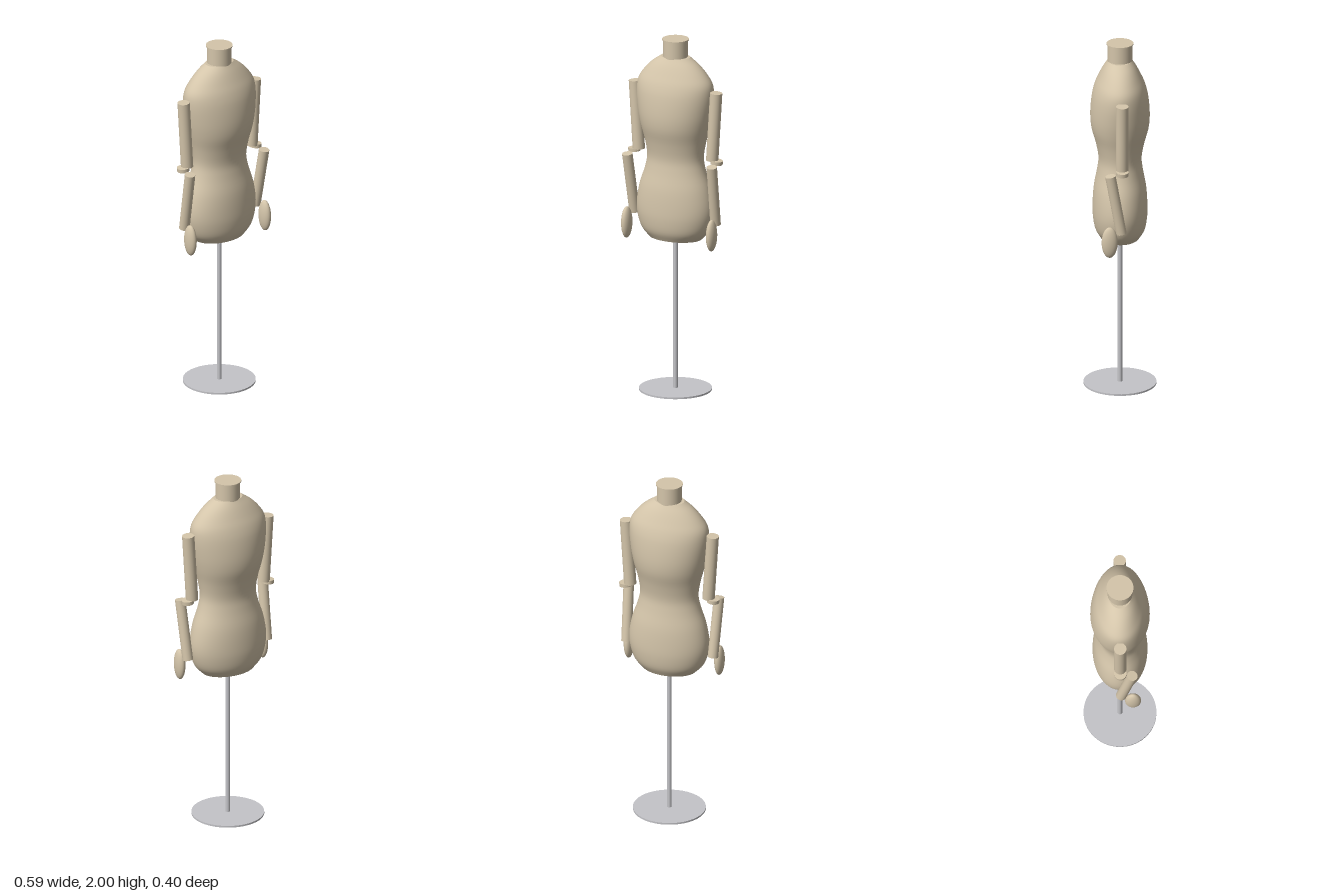
import * as THREE from 'three';
import { mergeVertices } from 'three/addons/utils/BufferGeometryUtils.js';

const V = (x, y, z) => new THREE.Vector3(x, y, z);

// Elliptical loft: each profile point is (half width, height, half depth)
function loft(profile) {
  const curve = new THREE.CatmullRomCurve3(profile.map((p) => V(...p)));
  let geo = new THREE.CylinderGeometry(1, 1, 1, 64, 60);
  geo.deleteAttribute('uv');
  geo = mergeVertices(geo); // closes the seam, keeps the cap edges sharp
  const pos = geo.attributes.position;
  for (let i = 0; i < pos.count; i++) {
    const p = curve.getPoint(THREE.MathUtils.clamp(pos.getY(i) + 0.5, 0, 1));
    pos.setXYZ(i, pos.getX(i) * p.x, p.y, pos.getZ(i) * p.z);
  }
  geo.computeVertexNormals();
  return geo;
}

export function createModel() {
  const model = new THREE.Group();
  model.name = 'dressForm';
  const fabric = new THREE.MeshStandardMaterial({ color: 0xd4c5aa });
  fabric.name = 'beigeFabric';
  const metal = new THREE.MeshStandardMaterial({ color: 0xc4c4c8 });
  metal.name = 'greyMetal';

  const add = (name, geo, mat, parent = model) => {
    const mesh = new THREE.Mesh(geo, mat);
    mesh.name = name;
    parent.add(mesh);
    return mesh;
  };
  // Cylinder running between two points
  const rod = (name, top, bottom, radius, mat, parent, topRadius = radius) => {
    const dir = top.clone().sub(bottom);
    const mesh = add(name, new THREE.CylinderGeometry(topRadius, radius, dir.length(), 40), mat, parent);
    mesh.position.copy(top).add(bottom).multiplyScalar(0.5);
    mesh.quaternion.setFromUnitVectors(V(0, 1, 0), dir.normalize());
    return mesh;
  };

  // Stand
  rod('base', V(0, 0.01, 0), V(0, 0, 0), 0.2, metal);
  rod('pole', V(0, 0.88, 0), V(0, 0.01, 0), 0.013, metal);

  // Torso, from hips to shoulders
  add('torso', loft([
    [0.155, 0.87, 0.11],
    [0.2, 0.92, 0.137],
    [0.224, 0.99, 0.149],
    [0.229, 1.06, 0.15],
    [0.212, 1.16, 0.143],
    [0.179, 1.26, 0.125],
    [0.166, 1.33, 0.118],
    [0.178, 1.42, 0.133],
    [0.201, 1.51, 0.157],
    [0.217, 1.59, 0.163],
    [0.228, 1.7, 0.153],
    [0.221, 1.76, 0.137],
    [0.19, 1.81, 0.115],
    [0.142, 1.86, 0.09],
    [0.085, 1.9, 0.065],
  ]), fabric);

  // Neck with a thin cap
  rod('neck', V(0, 1.995, 0), V(0, 1.895, 0), 0.068, fabric);
  rod('neckCap', V(0, 2, 0), V(0, 1.994, 0), 0.074, fabric);

  // Arms, mirrored
  for (const [side, s] of [['left', 1], ['right', -1]]) {
    const arm = new THREE.Group();
    arm.name = side + 'Arm';
    model.add(arm);
    rod('upperArm', V(s * 0.257, 1.727, 0), V(s * 0.232, 1.34, 0), 0.034, fabric, arm);
    rod('elbowDisc', V(s * 0.261, 1.343, 0), V(s * 0.259, 1.322, 0), 0.034, fabric, arm);
    rod('forearm', V(s * 0.267, 1.322, 0.066), V(s * 0.256, 0.98, 0.005), 0.029, fabric, arm);
    const hand = add('hand', new THREE.SphereGeometry(1, 32, 24), fabric, arm);
    hand.scale.set(0.026, 0.089, 0.044);
    hand.position.set(s * 0.268, 0.932, 0.07);
  }
  return model;
}
